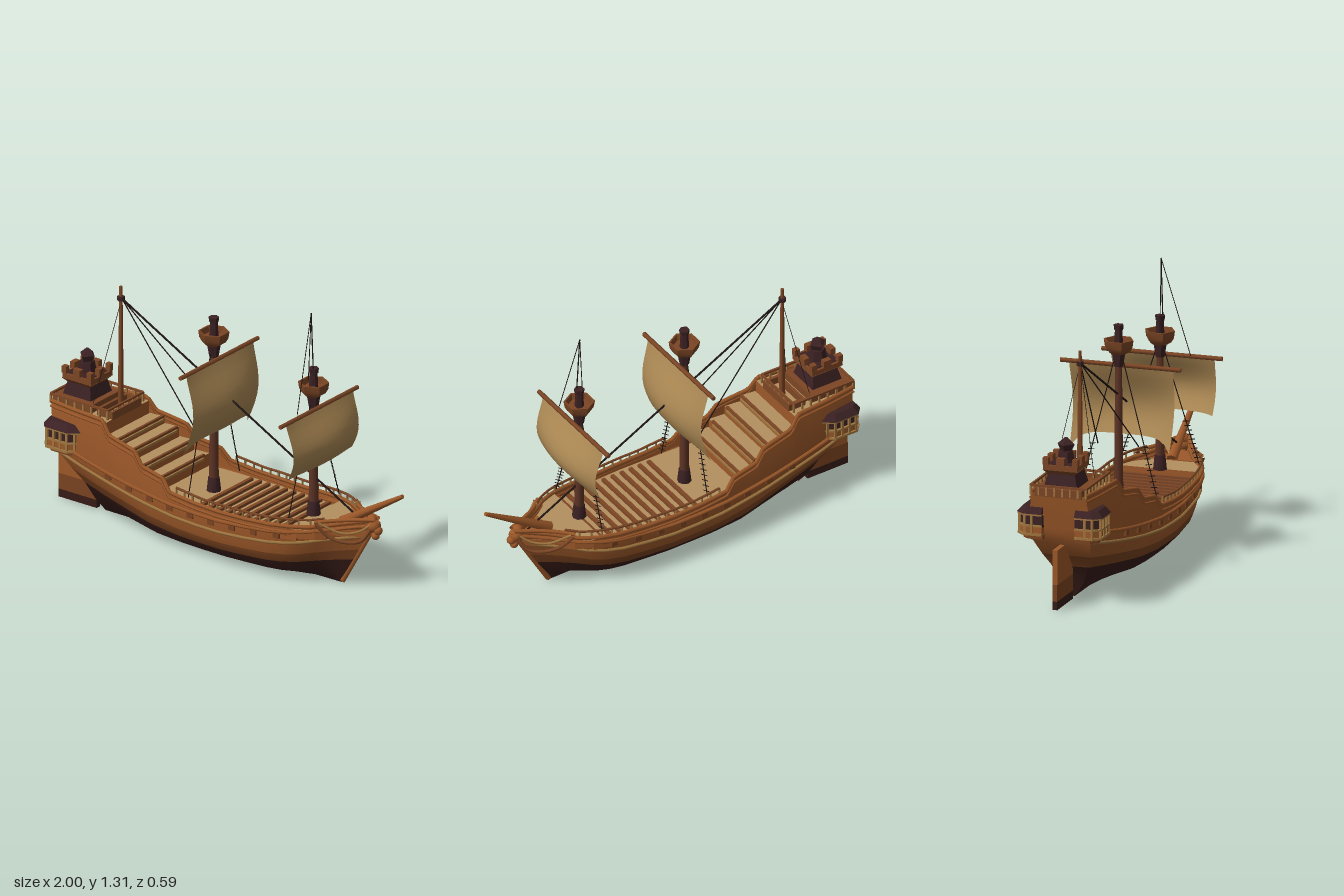
import * as THREE from 'three';
import { toCreasedNormals } from 'three/addons/utils/BufferGeometryUtils.js';

const paint = (name, color, side = THREE.FrontSide) => Object.assign(new THREE.MeshStandardMaterial({ color, side }), { name });
const V = (x, y, z) => new THREE.Vector3(x, y, z);

// Piecewise linear lookup in a list of [x, value]
function lookup(table, x) {
  if (x <= table[0][0]) return table[0][1];
  for (let i = 1; i < table.length; i++) {
    const [a, p] = table[i - 1], [b, q] = table[i];
    if (x <= b) return p + (q - p) * (x - a) / (b - a);
  }
  return table[table.length - 1][1];
}

// Hull lines: half breadth and rail height along the ship, stern and stem rake by height
const BREADTH = [[-.95, .155], [-.8, .18], [-.5, .212], [-.2, .235], [.1, .238], [.4, .222], [.52, .2], [.6, .162], [.66, .108], [.75, .054], [.84, .012]];
const RAIL = [[-.62, .54], [-.58, .48], [-.42, .45], [-.38, .39], [-.25, .37], [-.2, .315], [0, .295], [.3, .295], [.62, .32], [.84, .37]];
const STERN = [[0, -.73], [.15, -.78], [.31, -.91], [.5, -.95]];
const STEM = [[0, .64], [.02, .65], [.35, .84]];
const STATIONS = [-.95, -.88, -.8, -.7, -.62, -.58, -.5, -.42, -.38, -.25, -.2, -.05, .1, .25, .4, .5, .58, .64, .7, .77, .84];
// Each level: height, breadth factor, share of sheer, breadth factor at the stern
const LEVELS = [[0, .03, 0, 1], [.035, .66, .25, .5], [.09, .87, .55, .68], [.13, .93, .75, .82], [.19, .98, 1, .95], [.25, 1, 1, 1]];
const TOP = LEVELS.length;
const tumble = y => 1 - .6 * Math.max(0, y - .3);

function hullPoint(x, level, out = 0) {
  const u = (x + .95) / 1.79;
  const sheer = u < .55 ? .12 * ((.55 - u) / .55) ** 2 : .09 * ((u - .55) / .45) ** 2;
  let y, half = lookup(BREADTH, x);
  if (level === TOP) {
    y = lookup(RAIL, x);
    half *= tumble(y);
  } else {
    const [base, factor, share, aft] = LEVELS[level];
    y = base + sheer * share;
    half *= factor * (aft + (1 - aft) * Math.min(1, u / .3));
  }
  const a = lookup(STERN, y), b = lookup(STEM, y);
  return V(a + (b - a) * u, y, half + out);
}

// Surface from a rule, strip by strip; pick(j) gives each strip a material index
function grid(nu, nv, rule, pick) {
  const pos = [], index = [], g = new THREE.BufferGeometry();
  for (let j = 0; j <= nv; j++) for (let i = 0; i <= nu; i++) pos.push(...rule(i, j).toArray());
  for (let j = 0; j < nv; j++) {
    for (let i = 0; i < nu; i++) {
      const a = j * (nu + 1) + i, b = a + nu + 1;
      index.push(a, a + 1, b, b, a + 1, b + 1);
    }
    if (pick) g.addGroup(j * nu * 6, nu * 6, pick(j));
  }
  g.setAttribute('position', new THREE.Float32BufferAttribute(pos, 3));
  g.setIndex(index);
  return toCreasedNormals(g, .55);
}

export function createModel() {
  const ship = new THREE.Group();
  ship.name = 'sailingShip';
  const wood = paint('hull wood', 0x9c5829, THREE.DoubleSide), bottom = paint('dark bottom', 0x371c17, THREE.DoubleSide);
  const lower = paint('lower planks', 0x7a4320, THREE.DoubleSide), trim = paint('tan trim', 0xa0763f);
  const deckWood = paint('deck planks', 0xb39060), canvas = paint('canvas', 0xaa8753, THREE.DoubleSide);
  const dark = paint('dark timber', 0x3b2123), rope = paint('rope', 0x1f1514);
  const spar = paint('spar wood', 0x7c4625), mastWood = paint('mast wood', 0x5e3425);

  const add = (name, geo, mat, x = 0, y = 0, z = 0) => {
    const m = new THREE.Mesh(geo, mat);
    m.name = name;
    m.position.set(x, y, z);
    ship.add(m);
    return m;
  };
  const box = (name, mat, w, h, d, x, y, z) => add(name, new THREE.BoxGeometry(w, h, d), mat, x, y, z);
  const tub = (name, mat, r1, r0, h, sides, x, y, z = 0) =>
    add(name, toCreasedNormals(new THREE.CylinderGeometry(r1, r0, h, sides), .9), mat, x, y + h / 2, z);
  const pole = (name, mat, a, b, r0, r1 = r0, sides = 5) => {
    const m = add(name, new THREE.CylinderGeometry(r1, r0, a.distanceTo(b), sides), mat);
    m.position.copy(a).lerp(b, .5);
    m.quaternion.setFromUnitVectors(V(0, 1, 0), b.clone().sub(a).normalize());
  };
  const path = (name, mat, pts, r) => {
    const c = new THREE.CurvePath();
    for (let i = 1; i < pts.length; i++) c.add(new THREE.LineCurve3(pts[i - 1], pts[i]));
    add(name, new THREE.TubeGeometry(c, pts.length * 4, r, 5), mat);
  };
  const flip = (p, s) => V(p.x, p.y, p.z * s);

  // Hull shell and transom
  const skin = [bottom, lower, wood];
  const shade = l => l < 2 ? 0 : l < 3 ? 1 : 2;
  add('hull', grid(STATIONS.length - 1, 2 * TOP, (i, j) => flip(hullPoint(STATIONS[i], Math.abs(j - TOP)), Math.sign(j - TOP) || 1),
    j => shade(j < TOP ? TOP - 1 - j : j - TOP)), skin);
  add('transom', grid(1, TOP, (i, j) => flip(hullPoint(-.95, j), i ? 1 : -1), shade), skin);
  pole('stemPost', wood, V(.645, .01, 0), V(.845, .36, 0), .014);

  // Wales, rail caps and gun ports on both sides
  for (const s of [1, -1]) {
    const line = (level, out, dy = 0) => STATIONS.map(x => flip(hullPoint(x, level, out), s).add(V(0, dy, 0)));
    path('lowerWale', trim, line(4, .003), .008);
    path('upperWale', wood, line(5, .004), .009);
    path('gunwaleStrake', wood, line(TOP, .004, -.025), .006);
    path('railCap', wood, line(TOP, 0), .01);
    for (let x = -.6; x < .5; x += .13) {
      const p = hullPoint(x, 5);
      box('gunPort', lower, .034, .024, .012, p.x, p.y - .022, s * (p.z - .002));
    }
    // Open railing along the waist and forecastle
    const tops = [];
    for (let x = -.16; x < .67; x += .05) {
      const p = flip(hullPoint(x, TOP, -.004), s), q = p.clone().add(V(0, .035, 0));
      pole('railPost', trim, p, q, .005);
      tops.push(q);
    }
    path('waistRail', spar, tops, .006);
  }

  // Decks follow the hull breadth; the rim of each forms a step
  function deck(name, x0, x1, y, depth, top = deckWood) {
    const pts = [];
    for (let i = 0; i <= 8; i++) {
      const x = x0 + (x1 - x0) * i / 8;
      pts.push(new THREE.Vector2(x, lookup(BREADTH, x) * tumble(y) - .006));
    }
    const shape = new THREE.Shape([...pts, ...pts.map(p => new THREE.Vector2(p.x, -p.y)).reverse()]);
    add(name, new THREE.ExtrudeGeometry(shape, { depth, bevelEnabled: false }).rotateX(Math.PI / 2), [top, wood], 0, y);
  }
  deck('poopDeck', -.93, -.61, .525, .08);
  deck('mainDeck', -.32, .52, .262, .02);
  deck('forecastleDeck', .48, .64, .3, .045);
  deck('beakDeck', .64, .8, .305, .03, wood);
  [.46, .425, .375, .325].forEach((y, i) => {
    deck('sternStep', -.61 + i * .078, -.532 + i * .078, y, .07);
    box('stepEdge', spar, .012, .012, .36, -.535 + i * .078, y + .002, 0);
    box('stepTrim', trim, .008, .012, .34, -.528 + i * .078, y - .012, 0);
  });
  for (let i = 0; i < 11; i++) box('deckBeam', spar, .018, .016, .41, -.04 + i * .05, .268, 0);

  // Railing around the poop
  for (const s of [1, -1]) {
    box('poopSideRail', spar, .33, .01, .01, -.785, .575, s * .135);
    box('poopEndRail', spar, .01, .01, .27, -.785 + s * .165, .575, 0);
    for (let i = 0; i <= 7; i++) {
      box('poopPost', trim, .009, .045, .009, -.95 + .33 * i / 7, .552, s * .135);
      box('poopPost', trim, .009, .045, .009, -.785 + s * .165, .552, .27 * i / 7 - .135);
    }
    box('mizzenCoaming', spar, .085, .04, .015, -.655, .54, s * .105);
    box('mizzenCoaming', spar, .015, .04, .22, -.655 + s * .038, .54, 0);
  }
  box('towerPlatform', spar, .225, .04, .23, -.842, .545, 0);

  // Stern tower with battlements and lantern
  const square = (name, mat, r1, r0, h, y) => { tub(name, mat, r1 * 1.414, r0 * 1.414, h, 4, -.84, y).rotation.y = Math.PI / 4; };
  square('towerFoot', dark, .066, .082, .065, .56);
  square('towerFlare', spar, .085, .066, .02, .625);
  square('towerWall', spar, .083, .083, .024, .645);
  square('towerFloor', dark, .07, .07, .01, .662);
  for (const a of [-1, 0, 1]) for (const b of [-1, 0, 1])
    if (a || b) box('merlon', spar, a ? .026 : .04, .035, b ? .026 : .04, -.84 + a * .072, .687, b * .072);
  tub('lanternBase', dark, .034, .045, .06, 6, -.84, .665);
  tub('lantern', dark, .042, .028, .03, 4, -.84, .725);
  tub('lanternRoof', dark, .006, .042, .032, 4, -.84, .755);

  // Quarter galleries at the stern corners
  for (const s of [1, -1]) {
    const gallery = (name, mat, grow, y, h, slope = 1) => {
      const plan = [[-.955, .08], [-.955, .165], [-.925, .2], [-.81, .2], [-.745, .155], [-.745, .08]];
      const g = new THREE.ExtrudeGeometry(new THREE.Shape(plan.map(([x, z]) =>
        new THREE.Vector2(-.858 + (x + .858) * grow, .08 + (z - .08) * grow))), { depth: h, bevelEnabled: false }).rotateX(Math.PI / 2);
      const p = g.attributes.position;
      for (let i = 0; i < p.count; i++) if (p.getY(i) > -h / 2) p.setXYZ(i, -.858 + (p.getX(i) + .858) * slope, 0, .08 + (p.getZ(i) - .08) * slope);
      g.computeVertexNormals();
      // Mirrored side: negate z and swap two corners of every triangle
      if (s < 0) {
        for (let i = 0; i < p.count; i += 3) {
          const [a, b, c] = [0, 2, 1].map(k => V(p.getX(i + k), p.getY(i + k), -p.getZ(i + k)));
          [a, b, c].forEach((v, k) => p.setXYZ(i + k, v.x, v.y, v.z));
        }
        g.computeVertexNormals();
      }
      add(name, g, mat, 0, y);
    };
    gallery('galleryRoof', dark, 1.08, .468, .03, .8);
    gallery('galleryCornice', trim, 1.06, .44, .01);
    gallery('galleryWindows', dark, .94, .432, .06);
    gallery('galleryBalcony', wood, .98, .378, .035);
    gallery('galleryRail', trim, 1.03, .385, .009);
    gallery('galleryLedge', trim, 1.05, .345, .011);
    gallery('galleryFoot', lower, .85, .336, .022);
    for (const [x, z] of [[-.953, .13], [-.95, .165], [-.923, .198], [-.885, .198], [-.847, .198], [-.81, .198], [-.778, .178], [-.748, .152]])
      box('galleryPillar', trim, .011, .092, .011, x, .39, s * z);
  }

  // Rudder: wide blade with darker foot
  box('rudder', wood, .22, .165, .024, -.888, .202, 0);
  box('rudderMiddle', lower, .222, .08, .024, -.888, .08, 0);
  box('rudderFoot', bottom, .222, .04, .024, -.888, .02, 0);

  // Masts with crow's nests, yards and billowed sails whose lower corners may hang down
  const nestCup = toCreasedNormals(new THREE.LatheGeometry([[0, 0], [.034, 0], [.056, .014], [.068, .034], [.073, .068],
    [.064, .068], [.058, .04], [0, .04]].map(([r, y]) => new THREE.Vector2(r, y)), 6), .7);
  function mast(x, foot, nest, yard, sailFoot, corner) {
    tub('mast', mastWood, .016, .024, nest - foot, 8, x, foot);
    tub('mastFoot', dark, .026, .034, .07, 8, x, foot);
    tub('mastCollar', dark, .032, .022, .06, 6, x, nest - .06);
    add('crowsNest', nestCup, spar, x, nest, 0);
    tub('topmast', dark, .018, .022, .08, 6, x, nest + .04);
    tub('mastCap', dark, .025, .022, .024, 6, x, nest + .115);
    const yx = x + .03;
    pole('yard', spar, V(yx, yard, -.295), V(yx, yard, .295), .011, .011, 6);
    add('sail', grid(16, 10, (i, j) => {
      const a = i / 8 - 1, v = j / 10, flat = 1 - a * a, tip = Math.abs(a) ** 6 * v ** 4;
      const belly = Math.sin(Math.PI * Math.min(1, .93 * v ** 1.25));
      return V(yx + .004 + belly * (.04 + .028 * flat) + .018 * flat * v - corner * .5 * tip,
        yard + (sailFoot - yard) * v - corner * tip, a * (.255 - .012 * v));
    }), canvas);
    // Shrouds with ratlines on the lower part
    for (const s of [1, -1]) {
      const low = V(x, foot + .03, s * .195), high = V(x, nest - .04, s * .025);
      pole('shroud', rope, low, high, .0025);
      for (let k = 1; k < 11; k++) {
        const p = low.clone().lerp(high, k * .04);
        pole('ratline', rope, p.clone().add(V(-.008, 0, -.013)), p.add(V(.008, 0, .013)), .002);
      }
    }
  }
  mast(-.105, .265, 1, .938, .6, .065);
  mast(.475, .3, .898, .845, .575, .01);
  tub('mizzenMast', spar, .008, .015, .615, 7, -.645, .535);
  tub('mizzenBand', dark, .018, .018, .02, 6, -.645, 1.08);

  // Standing rigging
  const head = V(-.64, 1.09, 0);
  pole('mainStay', rope, head, V(.76, .34, 0), .005);
  for (const s of [1, -1]) {
    pole('braceLine', rope, head, V(-.11, .565, s * .1), .003);
    pole('backLine', rope, head, V(-.73, .57, s * .1), .0015);
  }
  const peak = V(.467, 1.313, .008);
  pole('foreLine', rope, peak, V(.485, .96, .012), .003);
  pole('foreLine', rope, peak, V(.49, .85, .145), .002);
  pole('foreLine', rope, peak, V(.45, .96, .008), .002);

  // Bowsprit, figurehead and carved swags
  pole('bowsprit', wood, V(.64, .305, 0), V(.993, .525, 0), .026, .01, 8);
  [[.825, .335, .034], [.85, .315, .022], [.815, .362, .026], [.835, .285, .02]].forEach(([x, y, r]) =>
    add('figurehead', new THREE.IcosahedronGeometry(r, 1), wood, x, y, 0));
  for (const s of [1, -1]) {
    const swag = (name, mat, r, pts) => add(name, new THREE.TubeGeometry(
      new THREE.CatmullRomCurve3(pts.map(([x, y, z]) => V(x, y, s * z))), 20, r, 6), mat);
    swag('carvedSwag', spar, .009, [[.83, .33, .02], [.79, .265, .055], [.72, .255, .095], [.66, .28, .13], [.61, .34, .165]]);
    swag('upperSwag', trim, .006, [[.83, .35, .02], [.78, .31, .055], [.71, .3, .1], [.62, .345, .155]]);
    swag('beakRail', wood, .01, [[.84, .37, .015], [.74, .36, .06], [.66, .35, .107], [.6, .345, .16]]);
  }
  return ship;
}
